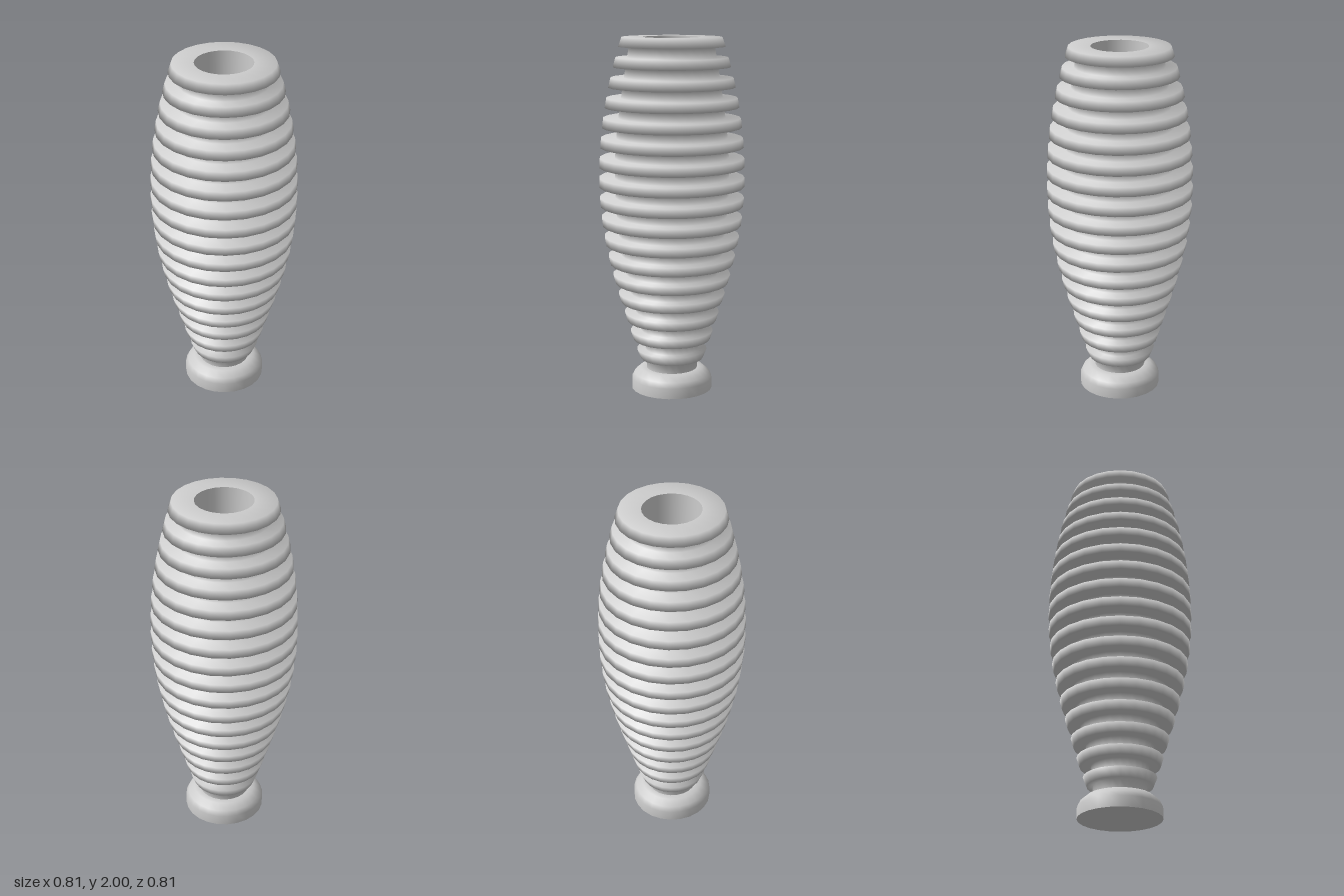
import * as THREE from 'three';

const SIDES = 24;

// Linear lookup of a radius at height y in a list of [y, radius]
function radiusAt(table, y) {
  for (let i = 1; i < table.length; i++) {
    const [y0, r0] = table[i - 1], [y1, r1] = table[i];
    if (y <= y1) return r0 + (r1 - r0) * (y - y0) / (y1 - y0);
  }
  return table[table.length - 1][1];
}

// Envelope of the ridges and of the grooves between them
const ridge = [[0.18, 0.18], [0.23, 0.2], [0.34, 0.235], [0.45, 0.268], [0.56, 0.302], [0.67, 0.332],
  [0.78, 0.358], [0.89, 0.38], [1.0, 0.395], [1.12, 0.405], [1.23, 0.407], [1.32, 0.405],
  [1.43, 0.398], [1.54, 0.386], [1.65, 0.368], [1.74, 0.35], [1.85, 0.323], [1.95, 0.295], [2, 0.278]];
const groove = [[0.12, 0.145], [0.2, 0.147], [0.3, 0.16], [0.4, 0.19], [0.5, 0.218], [0.6, 0.243], [0.7, 0.266],
  [0.8, 0.288], [1.0, 0.311], [1.2, 0.322], [1.4, 0.316], [1.6, 0.293], [1.75, 0.27], [1.9, 0.245], [2, 0.23]];

export function createModel() {
  const group = new THREE.Group();
  const material = new THREE.MeshStandardMaterial({ color: 0xcccccc });

  const lathe = (name, points) => {
    const geometry = new THREE.LatheGeometry(points.map(([r, y]) => new THREE.Vector2(r, y)), SIDES);
    const mesh = new THREE.Mesh(geometry, material);
    mesh.name = name;
    group.add(mesh);
  };

  // Ribbed grip: 17 evenly spaced ridges on a barrel-shaped core
  const ribs = 17, pitch = 1.77 / (ribs - 1), thickness = 0.052;
  const profile = [[0.145, 0.12]];
  for (let i = 0; i < ribs; i++) {
    const top = 0.23 + i * pitch, bottom = top - thickness;
    profile.push([radiusAt(groove, bottom), bottom], [radiusAt(ridge, bottom), bottom], [radiusAt(ridge, top), top]);
    if (i < ribs - 1) profile.push([radiusAt(groove, top), top]);
  }
  profile.push([0.158, 2]);
  lathe('ribbedGrip', profile);

  // Tapered blind hole in the top
  lathe('boreWall', [[0.158, 2], [0.1, 0.12]]);
  lathe('boreFloor', [[0.1, 0.12], [0, 0.12]]);

  // Collar at the foot
  lathe('baseCollar', [[0.23, 0], [0.23, 0.06], [0.215, 0.09], [0.18, 0.12], [0.145, 0.12]]);
  lathe('baseCap', [[0, 0], [0.23, 0]]);

  return group;
}
